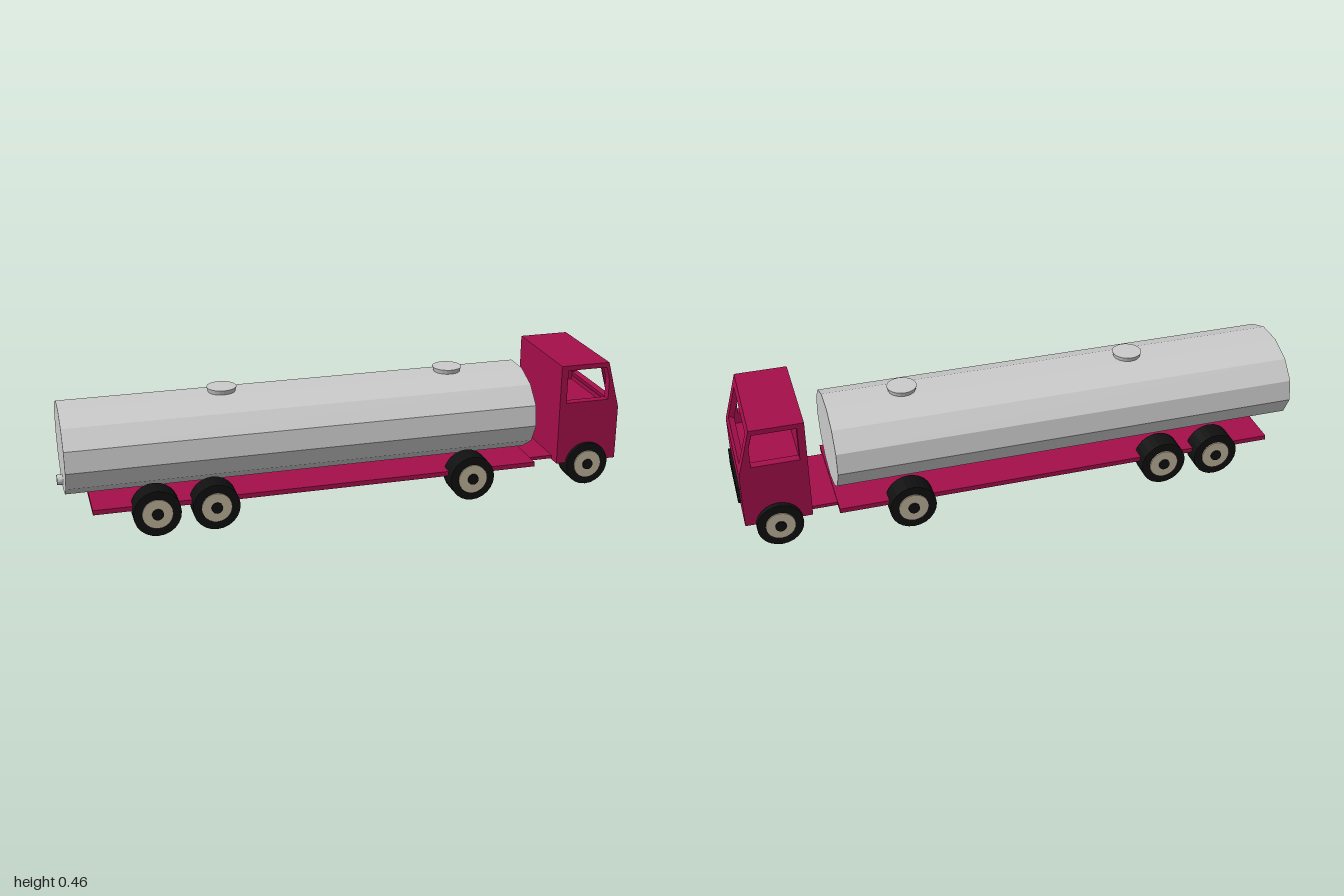
import * as THREE from 'three';

const mat = (color) => new THREE.MeshStandardMaterial({ color, flatShading: true, side: THREE.DoubleSide });
const red = mat(0xa50f4a), grey = mat(0xcccccc), black = mat(0x101010), tan = mat(0xc0b49c);

function add(parent, name, geometry, material, x = 0, y = 0, z = 0) {
  const mesh = new THREE.Mesh(geometry, material);
  mesh.name = name;
  mesh.position.set(x, y, z);
  parent.add(mesh);
  return mesh;
}

// Box given by its extents
function box(parent, name, material, x0, x1, y0, y1, z0, z1) {
  return add(parent, name, new THREE.BoxGeometry(x1 - x0, y1 - y0, z1 - z0), material,
    (x0 + x1) / 2, (y0 + y1) / 2, (z0 + z1) / 2);
}

const points = (list) => list.map(([x, y]) => new THREE.Vector2(x, y));
const extrude = (shape, depth) => new THREE.ExtrudeGeometry(shape, { depth, bevelEnabled: false });

// Tyre, rim and hub stacked on one axle line
function wheel(name, x, z, r) {
  const group = new THREE.Group();
  group.name = name;
  const disc = (part, radius, width, material) =>
    add(group, part, new THREE.CylinderGeometry(radius, radius, width, 24).rotateX(Math.PI / 2), material);
  disc('tyre', r, 0.076, black);
  disc('rim', r * 0.64, 0.085, tan);
  disc('hub', r * 0.24, 0.096, black);
  group.position.set(x, r, z);
  return group;
}

function buildTank() {
  const tank = new THREE.Group();
  tank.name = 'tank';
  // Thirteen-sided oval barrel with a flat facet on top
  const outline = [];
  for (let i = 0; i < 13; i++) {
    const a = -Math.PI / 2 + (i / 13) * Math.PI * 2;
    outline.push([0.205 * Math.cos(a), 0.153 * Math.sin(a)]);
  }
  const barrel = extrude(new THREE.Shape(points(outline)), 1.65).rotateY(Math.PI / 2);
  add(tank, 'barrel', barrel, grey, -0.98, 0.263, 0);
  for (const x of [-0.42, 0.4])
    add(tank, 'hatch', new THREE.CylinderGeometry(0.052, 0.045, 0.024, 20), grey, x, 0.416, 0);
  add(tank, 'drainValve', new THREE.CylinderGeometry(0.018, 0.018, 0.03, 14).rotateZ(Math.PI / 2),
    grey, -0.985, 0.155, 0.03);
  return tank;
}

function buildCab() {
  const cab = new THREE.Group();
  cab.name = 'cab';
  const back = 0.762, front = 0.99, z0 = -0.181, z1 = 0.193, wall = 0.03;
  const mid = (z0 + z1) / 2, inner = z1 - z0 - 2 * wall;

  // Solid lower body up to the cab floor
  box(cab, 'lowerBody', red, back, front, 0.085, 0.275, z0 + wall, z1 - wall);

  // Side walls with window openings
  const side = new THREE.Shape(points([[back, 0.085], [front, 0.085], [front, 0.283], [0.943, 0.455], [back, 0.455]]));
  side.holes.push(new THREE.Path(points([[0.787, 0.315], [0.787, 0.437], [0.935, 0.437], [0.948, 0.39], [0.948, 0.315]])));
  for (const z of [z0, z1 - wall])
    add(cab, 'sideWall', extrude(side, wall), red, 0, 0, z);

  box(cab, 'rearWall', red, back, back + 0.02, 0.275, 0.455, z0 + wall, z1 - wall);
  box(cab, 'roof', red, back + 0.02, 0.943, 0.438, 0.455, z0 + wall, z1 - wall);

  // Sloping windscreen frame with an open pane
  const h = inner / 2, rise = 0.178;
  const frame = new THREE.Shape(points([[-h, 0], [h, 0], [h, rise], [-h, rise]]));
  frame.holes.push(new THREE.Path(points([[-0.148, 0.029], [-0.148, 0.148], [0.148, 0.148], [0.148, 0.029]])));
  const screen = extrude(frame, 0.02).translate(0, 0, -0.02).rotateX(-0.267).rotateY(Math.PI / 2);
  add(cab, 'windscreenFrame', screen, red, front, 0.283, mid);
  box(cab, 'dashboardEdge', red, 0.965, 0.988, 0.27, 0.29, z0 + wall, z1 - wall);

  // Grille bars and plate
  for (const y of [0.147, 0.172, 0.197])
    box(cab, 'grilleBar', black, 0.98, 1.0, y - 0.006, y + 0.006, -0.122, 0.122);
  box(cab, 'frontPlate', tan, 0.98, 0.997, 0.093, 0.12, -0.042, 0.033);
  return cab;
}

export function createModel() {
  const truck = new THREE.Group();
  truck.name = 'tankerTruck';

  // Flat chassis: wide bed behind, narrow neck to the cab
  box(truck, 'chassisBed', red, -0.9, 0.673, 0.087, 0.104, -0.203, 0.2);
  box(truck, 'chassisNeck', red, 0.67, 0.93, 0.088, 0.1, -0.155, 0.148);
  // Low saddle carrying the barrel
  box(truck, 'tankSaddle', grey, -0.85, 0.62, 0.1, 0.12, -0.03, 0.03);

  truck.add(buildTank(), buildCab());

  for (const s of [-1, 1]) {
    for (const x of [-0.69, -0.49, 0.425]) truck.add(wheel('rearWheel', x, s * 0.194, 0.081));
    truck.add(wheel('frontWheel', 0.875, s * 0.166 + 0.003, 0.079));
  }
  return truck;
}
